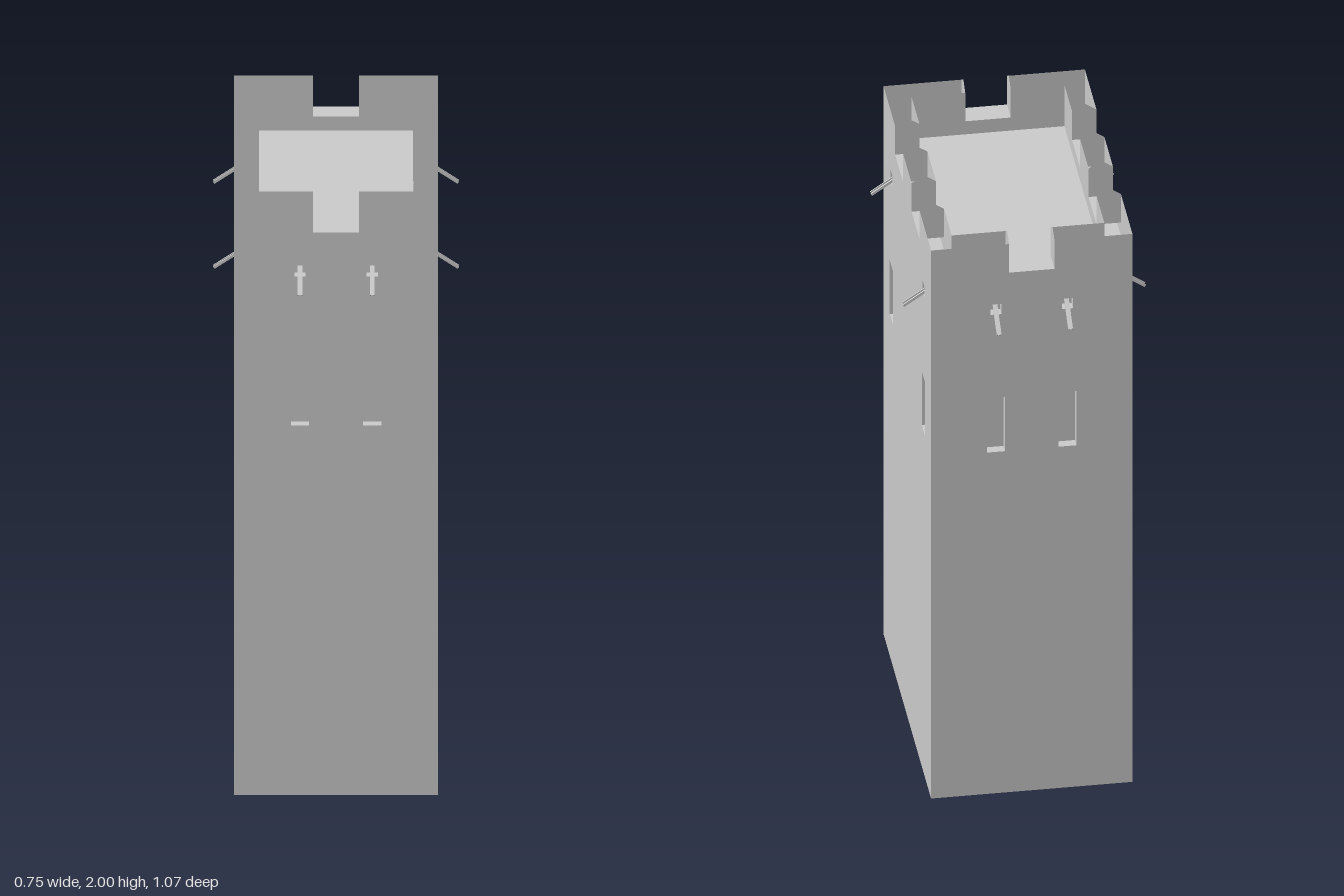
import * as THREE from 'three';

const W = 0.62, D = 0.945;              // tower footprint
const TOP = 1.975, NOTCH = 1.872, FLOOR = 1.825, THICK = 0.075;

const material = new THREE.MeshStandardMaterial({
  color: 0xcccccc, flatShading: true, side: THREE.DoubleSide,
});

function add(parent, name, geometry, x = 0, y = 0, z = 0) {
  const mesh = new THREE.Mesh(geometry, material);
  mesh.name = name;
  mesh.position.set(x, y, z);
  parent.add(mesh);
  return mesh;
}

// Wall outline with crenel notches, each notch being [centre, half width]
function wallShape(half, bottom, notches) {
  const s = new THREE.Shape();
  s.moveTo(-half, bottom);
  s.lineTo(half, bottom);
  s.lineTo(half, TOP);
  for (const [c, h] of [...notches].sort((a, b) => b[0] - a[0])) {
    s.lineTo(c + h, TOP);
    s.lineTo(c + h, NOTCH);
    s.lineTo(c - h, NOTCH);
    s.lineTo(c - h, TOP);
  }
  s.lineTo(-half, TOP);
  s.closePath();
  return s;
}

function rectHole(x, y0, y1, w) {
  const p = new THREE.Path();
  p.moveTo(x - w / 2, y0);
  p.lineTo(x - w / 2, y1);
  p.lineTo(x + w / 2, y1);
  p.lineTo(x + w / 2, y0);
  p.closePath();
  return p;
}

// Box with its outward (+z) side left out
function recessGeometry(w, h, d) {
  const g = new THREE.BoxGeometry(w, h, d);
  const index = Array.from(g.index.array);
  index.splice(24, 6);
  g.setIndex(index);
  g.clearGroups();
  return g;
}

// Thin U-shaped trough running along +z
function spoutGeometry(w, length) {
  const t = 0.003, h = 0.008, a = w / 2;
  const s = new THREE.Shape([
    [-a, h], [-a, 0], [a, 0], [a, h], [a - t, h], [a - t, t], [-a + t, t], [-a + t, h],
  ].map(([x, y]) => new THREE.Vector2(x, y)));
  return new THREE.ExtrudeGeometry(s, { depth: length, bevelEnabled: false });
}

// Pointed end panel of a merlon, in the z-y plane once turned
function merlonEndGeometry() {
  const s = new THREE.Shape();
  s.moveTo(0, NOTCH);
  s.lineTo(THICK, NOTCH);
  s.lineTo(THICK, TOP);
  s.lineTo(THICK / 2, 2);
  s.lineTo(0, TOP);
  s.closePath();
  return new THREE.ShapeGeometry(s).rotateY(Math.PI / 2);
}

// One side of the tower, facing +z with its outer face at z = 0
function makeSide({ width, notches, openX, windowW, holeW, spoutW }) {
  const side = new THREE.Group();
  const depth = 0.03;

  const outer = wallShape(width / 2, 0, notches);
  for (const x of [-openX, openX]) {
    for (const [name, w, y0, y1] of [
      ['windowRecess', windowW, 1.23, 1.425],
      ['drainRecess', holeW, 1.725, 1.762],
    ]) {
      outer.holes.push(rectHole(x, y0, y1, w));
      add(side, name, recessGeometry(w, y1 - y0, depth), x, (y0 + y1) / 2, -depth / 2);
    }
    const spout = add(side, 'drainSpout', spoutGeometry(spoutW, 0.109), x, 1.748, -depth);
    spout.rotation.x = 0.6;
  }
  add(side, 'outerWall', new THREE.ShapeGeometry(outer));

  // Parapet: inner wall, crenel sills and pointed merlon ends
  const inner = wallShape(width / 2 - THICK, FLOOR, notches);
  add(side, 'parapetInnerWall', new THREE.ShapeGeometry(inner), 0, 0, -THICK);
  for (const [c, h] of notches) {
    const sill = new THREE.PlaneGeometry(2 * h, THICK).rotateX(-Math.PI / 2);
    add(side, 'crenelSill', sill, c, NOTCH, -THICK / 2);
    for (const x of [c - h, c + h]) add(side, 'merlonEnd', merlonEndGeometry(), x, 0, 0);
  }
  return side;
}

export function createModel() {
  const model = new THREE.Group();
  model.name = 'tower';

  const narrow = {
    width: W, notches: [[0, 0.07]], openX: 0.11, windowW: 0.055, holeW: 0.034, spoutW: 0.014,
  };
  const wide = {
    width: D, notches: [[-0.164, 0.079], [0.164, 0.079]],
    openX: 0.319, windowW: 0.064, holeW: 0.04, spoutW: 0.016,
  };

  // Four sides, each turned to face outwards
  ['front', 'left', 'back', 'right'].forEach((name, i) => {
    const side = makeSide(i % 2 ? wide : narrow);
    const angle = (i * Math.PI) / 2;
    const reach = (i % 2 ? W : D) / 2;
    side.name = name + 'Side';
    side.rotation.y = angle;
    side.position.set(Math.sin(angle) * reach, 0, Math.cos(angle) * reach);
    model.add(side);
  });

  // Roof deck behind the parapet
  add(model, 'roofDeck', new THREE.PlaneGeometry(W, D).rotateX(-Math.PI / 2), 0, FLOOR, 0);
  return model;
}
